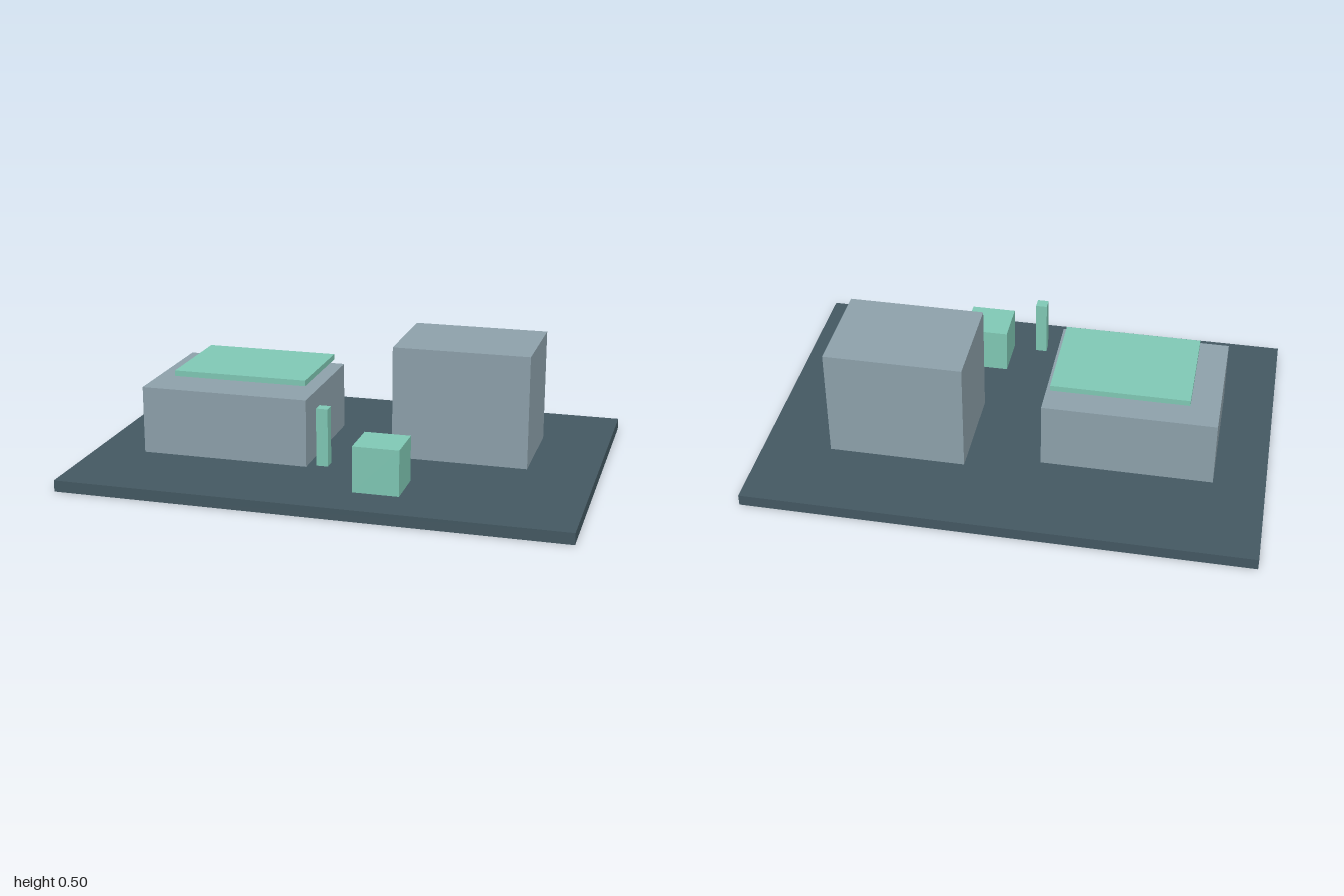
import * as THREE from 'three';

const U = 1 / 22; // layout module: the slab is 44 x 1 x 30 modules

export function createModel() {
  const group = new THREE.Group();
  const slate = new THREE.MeshStandardMaterial({ color: 0x455a64 });
  const greyBlue = new THREE.MeshStandardMaterial({ color: 0x90a4ae });
  const mint = new THREE.MeshStandardMaterial({ color: 0x82ccb8 });

  // Box given by its size, its centre in plan and the height of its underside, in modules
  const block = (name, material, [w, h, d], [x, bottom, z]) => {
    const mesh = new THREE.Mesh(new THREE.BoxGeometry(w * U, h * U, d * U), material);
    mesh.name = name;
    mesh.position.set(x * U, (bottom + h / 2) * U, z * U);
    group.add(mesh);
  };

  // Ground slab
  block('groundSlab', slate, [44, 1, 30], [0, 0, 0]);

  // Two main buildings
  block('lowBuilding', greyBlue, [15, 6, 12], [-10, 1, 0]);
  block('tallBuilding', greyBlue, [12, 10, 9], [10, 1, -3]);

  // Panel hovering above the low roof
  block('roofPanel', mint, [12, 0.5, 9], [-9, 7.8, 0]);

  // Small kiosk and the floating post beside it
  block('kiosk', mint, [4, 4, 4], [5, 1, 9]);
  block('post', mint, [1, 5, 1], [0, 2.5, 9]);

  return group;
}
